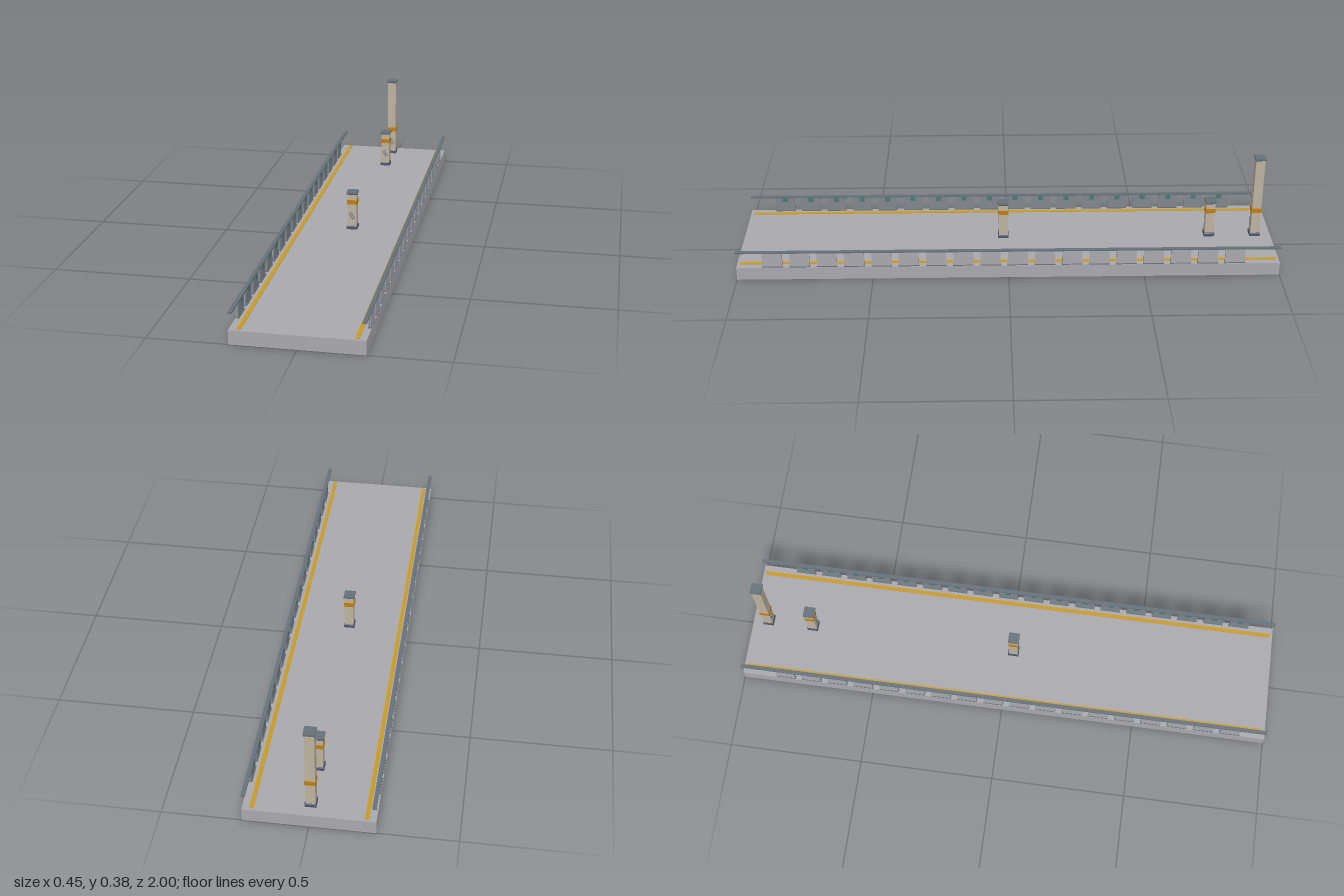
import * as THREE from 'three';

const mat = (name, color, extra = {}) => {
  const m = new THREE.MeshStandardMaterial({ color });
  m.name = name;
  return Object.assign(m, extra);
};

export function createModel() {
  const concrete = mat('concrete grey', 0xa9a8ad);
  const slate = mat('slate', 0x66717a);
  const steel = mat('steel grey', 0x7f878d);
  const navy = mat('dark base', 0x4d5468);
  const beige = mat('beige', 0xbdb2a0);
  const amber = mat('amber', 0xc17f0c);
  const yellow = mat('safety yellow', 0xc99a22);
  const teal = mat('teal', 0x4a7a74);

  const model = new THREE.Group();
  model.name = 'walkway';

  const box = (parent, name, material, w, h, d, x, y, z) => {
    const m = new THREE.Mesh(new THREE.BoxGeometry(w, h, d), material);
    m.name = name;
    m.position.set(x, y, z);
    parent.add(m);
    return m;
  };

  // Square block whose top and bottom half-widths differ
  const block = (parent, name, material, bottom, top, y0, y1) => {
    const g = new THREE.CylinderGeometry(top * Math.SQRT2, bottom * Math.SQRT2, y1 - y0, 4)
      .rotateY(Math.PI / 4).toNonIndexed();
    g.computeVertexNormals();
    const m = new THREE.Mesh(g, material);
    m.name = name;
    m.position.y = (y0 + y1) / 2;
    parent.add(m);
  };

  // Deck
  box(model, 'deck', concrete, 0.45, 0.05, 2, 0, 0.025, 0);

  // Edge strips and railings on both sides
  for (const s of [-1, 1]) {
    box(model, 'edgeStrip', yellow, 0.014, 0.002, 1.98, s * 0.193, 0.051, 0);

    const railing = new THREE.Group();
    railing.name = s > 0 ? 'leftRailing' : 'rightRailing';
    model.add(railing);
    box(railing, 'handrail', slate, 0.014, 0.005, 2, s * 0.218, 0.1105, 0);
    for (let i = 0; i < 18; i++) {
      const z = 0.867 - i * 0.1;
      box(railing, 'panelFoot', slate, 0.012, 0.003, 0.076, s * 0.218, 0.0515, z);
      box(railing, 'panel', steel, 0.006, 0.058, 0.073, s * 0.217, 0.079, z);
      box(railing, 'panelFace', concrete, 0.002, 0.058, 0.073, s * 0.221, 0.079, z);
      box(railing, 'railLamp', teal, 0.002, 0.018, 0.02, s * 0.213, 0.099, z);
    }
  }

  // Square pillars: one tall, two short
  for (const [z, top] of [[-0.94, 0.376], [-0.766, 0.197], [0.017, 0.197]]) {
    const pillar = new THREE.Group();
    pillar.name = top > 0.3 ? 'tallPillar' : 'shortPillar';
    pillar.position.z = z;
    model.add(pillar);
    block(pillar, 'base', navy, 0.02, 0.02, 0.05, 0.061);
    block(pillar, 'baseBevel', navy, 0.02, 0.018, 0.061, 0.064);
    block(pillar, 'shaft', beige, 0.017, 0.017, 0.062, top - 0.008);
    block(pillar, 'band', amber, 0.0188, 0.0188, 0.149, 0.166);
    block(pillar, 'capBevel', slate, 0.018, 0.0205, top - 0.01, top - 0.007);
    block(pillar, 'cap', slate, 0.0205, 0.0205, top - 0.007, top);

    // Tilted plaque of slim bars on the front
    const plaque = new THREE.Group();
    plaque.name = 'plaque';
    plaque.position.set(0, 0.103, 0.0173);
    plaque.rotation.z = 0.5;
    pillar.add(plaque);
    for (const x of [-0.004, 0.004]) box(plaque, 'plaqueBar', steel, 0.005, 0.03, 0.001, x, 0, 0);
  }

  return model;
}
